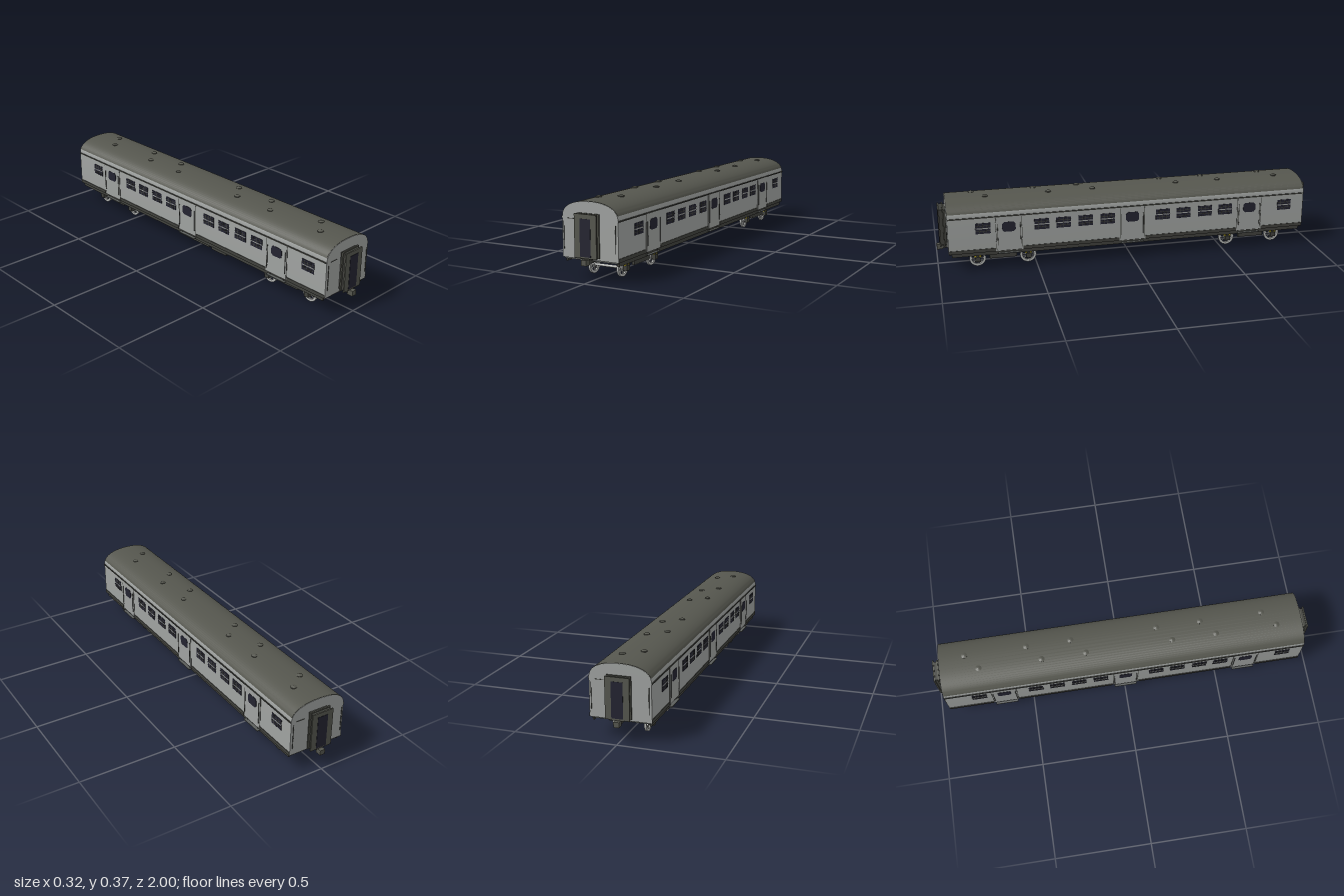
import * as THREE from 'three';
import { toCreasedNormals } from 'three/addons/utils/BufferGeometryUtils.js';

const mat = (name, color) => Object.assign(new THREE.MeshStandardMaterial({ color }), { name });

export function createModel() {
  const M = {
    grey: mat('body grey', 0x9fa2a0),
    light: mat('light metal', 0xb4b6b4),
    roof: mat('roof olive grey', 0x55564e),
    dark: mat('dark trim', 0x40413c),
    floor: mat('underframe grey', 0x5c5f5d),
    glass: mat('dark glass', 0x232330),
    yellow: mat('spring yellow', 0xb5a322),
  };
  const model = new THREE.Group();
  model.name = 'railwayCarriage';

  const add = (parent, name, geo, m, x = 0, y = 0, z = 0) => {
    const mesh = new THREE.Mesh(geo, m);
    mesh.name = name;
    mesh.position.set(x, y, z);
    parent.add(mesh);
    return mesh;
  };
  const box = (parent, name, m, w, h, d, x, y, z) =>
    add(parent, name, new THREE.BoxGeometry(w, h, d), m, x, y, z);
  const group = (parent, name, x = 0, y = 0, z = 0) => {
    const g = new THREE.Group();
    g.name = name;
    g.position.set(x, y, z);
    parent.add(g);
    return g;
  };
  const extrude = (shape, depth, crease = 0.5) => {
    const g = new THREE.ExtrudeGeometry(shape, { depth, bevelEnabled: false, curveSegments: 20 });
    g.translate(0, 0, -depth / 2);
    return toCreasedNormals(g, crease);
  };

  // Roof curve: a superellipse from the right eave to the left one
  const arc = (a, b, from, n = 28) => {
    const pts = [];
    for (let i = 0; i <= n; i++) {
      const t = from + (Math.PI - 2 * from) * (i / n);
      const c = Math.cos(t), s = Math.max(Math.sin(t), 0);
      pts.push(new THREE.Vector2(a * Math.sign(c) * Math.abs(c) ** 0.86, 0.285 + b * s ** 0.86));
    }
    return pts;
  };

  // Body shell, with end walls following the roof curve
  const section = [new THREE.Vector2(-0.148, 0.1), new THREE.Vector2(0.148, 0.1), ...arc(0.148, 0.078, 0)];
  add(model, 'body', extrude(new THREE.Shape(section), 1.892), M.grey);
  box(model, 'floor', M.floor, 0.28, 0.008, 1.88, 0, 0.097, 0);

  // Roof covering
  const skin = [...arc(0.1495, 0.0795, 0.25), ...arc(0.146, 0.076, 0.25).reverse()];
  add(model, 'roof', extrude(new THREE.Shape(skin), 1.888), M.roof);

  // Roof vents, two staggered rows
  for (const s of [1, -1]) {
    for (const [x, z] of [[0.04, -0.81], [-0.04, -0.745], [0.04, -0.49], [-0.04, -0.42], [0.04, -0.26], [-0.04, -0.19]]) {
      const vent = group(model, 'roofVent', s * x, 0, s * z);
      add(vent, 'ventBase', new THREE.CylinderGeometry(0.016, 0.014, 0.007, 12), M.roof, 0, 0.3625, 0);
      add(vent, 'ventCap', new THREE.CylinderGeometry(0.003, 0.016, 0.005, 12), M.roof, 0, 0.3685, 0);
    }
  }

  // Chamfered pane for the doors
  const pane = new THREE.Shape();
  const pw = 0.034, ph = 0.026, c = 0.01;
  [[-pw + c, -ph], [pw - c, -ph], [pw, -ph + c], [pw, ph - c], [pw - c, ph], [-pw + c, ph], [-pw, ph - c], [-pw, -ph + c]]
    .forEach(([x, y], i) => (i ? pane.lineTo(x, y) : pane.moveTo(x, y)));
  const paneGeo = extrude(pane, 0.004).rotateY(Math.PI / 2);

  const windowZ = [0.77, 0.473, 0.361, 0.246, 0.131, -0.163, -0.275, -0.393, -0.505, -0.837];
  const doorZ = [0.64, 0, -0.64];

  // One side wall and one end; the other pair is the same turned half round
  for (const turn of [0, Math.PI]) {
    const half = group(model, turn ? 'leftwardHalf' : 'rightwardHalf');
    half.name = turn ? 'rightSideAndBack' : 'leftSideAndFront';
    half.rotation.y = turn;

    box(half, 'gutter', M.dark, 0.005, 0.006, 1.89, 0.1495, 0.285, 0);
    box(half, 'solebar', M.dark, 0.009, 0.02, 1.86, 0.137, 0.09, 0);

    // Sill strip between the doors
    for (const [a, b] of [[0.945, 0.71], [0.57, 0.07], [-0.07, -0.57], [-0.71, -0.945]])
      box(half, 'sill', M.dark, 0.004, 0.018, a - b, 0.1485, 0.109, (a + b) / 2);

    for (const z of windowZ) {
      const w = group(half, 'window', 0.148, 0.228, z);
      box(w, 'windowPane', M.glass, 0.003, 0.056, 0.076, 0.0005, 0, 0);
      box(w, 'middleBar', M.grey, 0.004, 0.005, 0.076, 0.0015, 0, 0);
      for (const y of [-0.014, 0.014]) box(w, 'thinBar', M.dark, 0.004, 0.003, 0.076, 0.0012, y, 0);
      for (const dz of [-0.019, 0, 0.019]) box(w, 'uprightBar', M.dark, 0.003, 0.056, 0.002, 0.0012, 0, dz);
    }

    for (const z of doorZ) {
      const d = group(half, 'door', 0.148, 0, z);
      box(d, 'doorPanel', M.grey, 0.004, 0.18, 0.128, 0.0005, 0.192, 0);
      add(d, 'doorPane', paneGeo, M.glass, 0.0018, 0.228, 0);
      for (const s of [1, -1]) {
        box(d, 'doorSeam', M.dark, 0.003, 0.165, 0.002, 0.0004, 0.195, s * 0.066);
        const rail = add(d, 'handrail', new THREE.CylinderGeometry(0.0015, 0.0015, 0.115, 6), M.dark, 0.005, 0.19, s * 0.058);
        for (const y of [-0.054, 0.054]) box(rail, 'railMount', M.dark, 0.005, 0.002, 0.002, -0.002, y, 0);
        box(d, 'stepBracket', M.dark, 0.006, 0.016, 0.004, -0.006, 0.095, s * 0.045);
      }
      box(d, 'step', M.floor, 0.02, 0.004, 0.118, 0, 0.088, 0);
    }

    // End wall: gangway with its door, handrails and coupler
    const end = group(half, 'gangway');
    box(end, 'gangwayBellows', M.dark, 0.1, 0.19, 0.036, 0, 0.213, 0.96);
    for (const z of [0.96, 0.981]) box(end, 'gangwayFrame', M.roof, 0.116, 0.2, 0.007, 0, 0.213, z);
    box(end, 'gangwayDoor', M.glass, 0.056, 0.172, 0.004, 0, 0.206, 0.984);
    box(end, 'couplerPlate', M.dark, 0.058, 0.006, 0.04, 0, 0.111, 0.96);
    box(end, 'couplerShank', M.dark, 0.018, 0.018, 0.09, 0, 0.096, 0.94);
    box(end, 'couplerHead', M.roof, 0.027, 0.026, 0.03, 0, 0.096, 0.985);
    for (const s of [1, -1])
      add(end, 'endHandrail', new THREE.CylinderGeometry(0.0015, 0.0015, 0.128, 6), M.dark, s * 0.137, 0.204, 0.95);
    box(end, 'endHandle', M.dark, 0.042, 0.002, 0.003, -0.097, 0.281, 0.947);
  }

  // Spoked wheel rim
  const ring = new THREE.Shape().absarc(0, 0, 0.042, 0, Math.PI * 2);
  ring.holes.push(new THREE.Path().absarc(0, 0, 0.03, 0, Math.PI * 2, true));
  const rimGeo = extrude(ring, 0.011).rotateY(Math.PI / 2);
  const xCyl = (r, l, n = 16) => new THREE.CylinderGeometry(r, r, l, n).rotateZ(Math.PI / 2);

  // Bogies
  for (const s of [1, -1]) {
    const bogie = group(model, 'bogie', 0, 0, s * 0.67);
    box(bogie, 'bolster', M.dark, 0.2, 0.022, 0.09, 0, 0.08, 0);
    for (const z of [-0.065, 0.065]) box(bogie, 'crossBeam', M.roof, 0.18, 0.018, 0.018, 0, 0.07, z);
    for (const x of [-0.097, 0.097]) {
      box(bogie, 'sideFrame', M.dark, 0.012, 0.014, 0.32, x, 0.082, 0);
      box(bogie, 'springPlank', M.dark, 0.014, 0.026, 0.14, x, 0.058, 0);
    }
    for (const z of [-0.13, 0.13]) {
      const set = group(bogie, 'wheelset', 0, 0.043, z);
      add(set, 'axle', xCyl(0.0065, 0.2), M.light);
      for (const x of [-0.0765, 0.0765]) {
        add(set, 'wheelRim', rimGeo, M.light, x);
        add(set, 'wheelHub', xCyl(0.012, 0.013), M.light, x);
        for (let i = 0; i < 4; i++)
          box(set, 'spokes', M.light, 0.005, 0.064, 0.005, x, 0, 0).rotation.x = i * Math.PI / 4;
        const side = Math.sign(x);
        box(set, 'axleBox', M.dark, 0.021, 0.024, 0.026, side * 0.0985, 0.002, 0);
        for (const dz of [-0.013, 0.013])
          add(set, 'spring', new THREE.CylinderGeometry(0.006, 0.006, 0.02, 10), M.yellow, side * 0.0985, 0.024, dz);
        box(set, 'springGuide', M.dark, 0.008, 0.022, 0.012, side * 0.0985, 0.024, 0);
      }
    }
  }

  // Underfloor equipment: width, height, depth, x, y, z
  const gear = group(model, 'underfloorEquipment');
  for (const b of [
    [0.12, 0.036, 0.23, -0.06, 0.073, 0.019], [0.09, 0.038, 0.106, -0.04, 0.066, -0.197],
    [0.05, 0.036, 0.107, -0.09, 0.066, 0.204], [0.13, 0.026, 0.222, -0.02, 0.077, -0.438],
  ]) box(gear, 'equipmentBox', M.dark, ...b);
  for (const z of [0.32, -0.32]) {
    add(gear, 'airTank', xCyl(0.011, 0.05), M.dark, 0, 0.07, z);
    box(gear, 'tankHanger', M.dark, 0.03, 0.022, 0.004, 0, 0.085, z);
  }
  return model;
}
